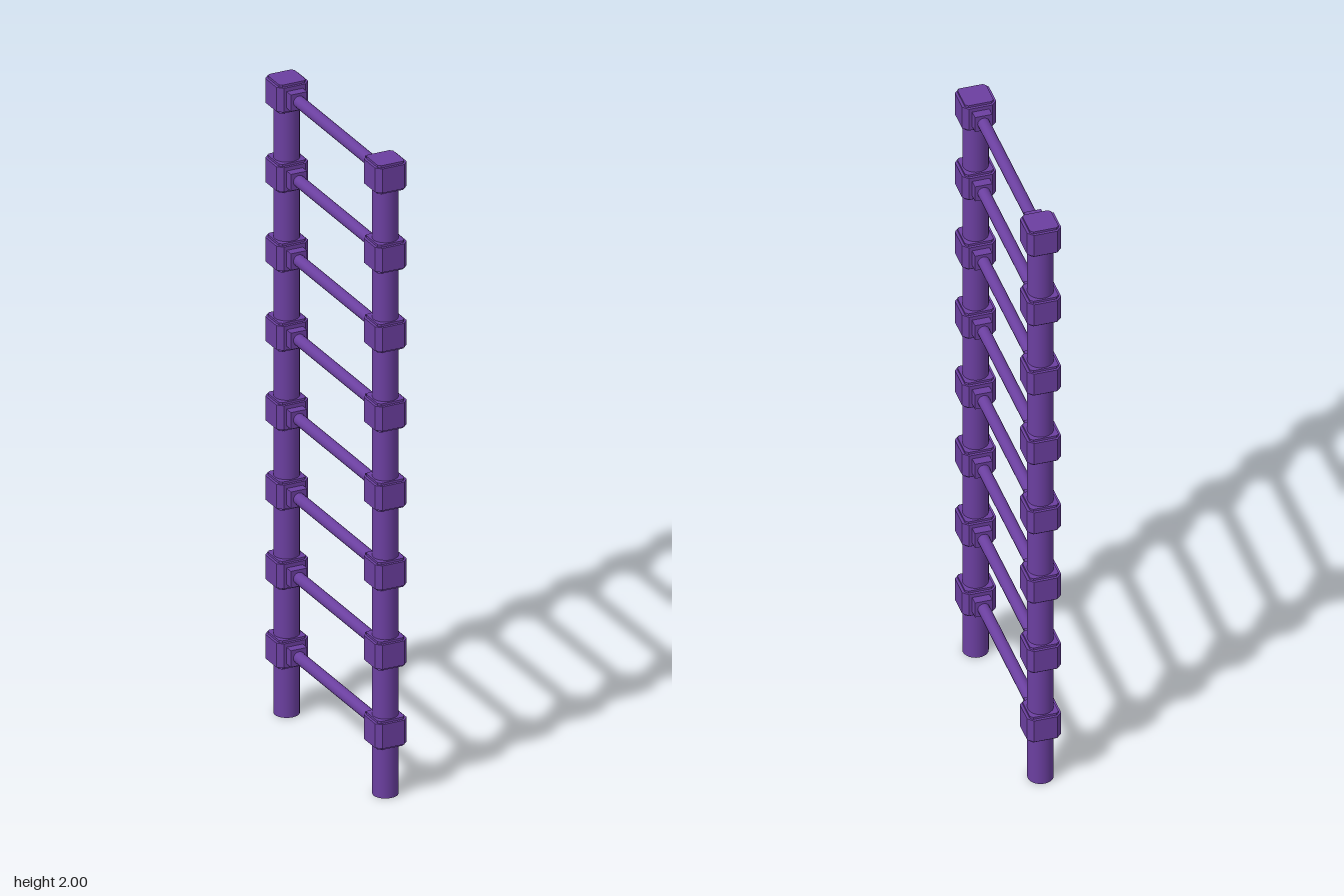
import * as THREE from 'three';

const material = new THREE.MeshStandardMaterial({ color: 0x6b3fa0 });

// Square prism with cut vertical corners, centred on the origin, axis along y
function cutCornerPrism(half, cut, height) {
  const a = half, b = half - cut;
  const shape = new THREE.Shape([
    [a, -b], [a, b], [b, a], [-b, a], [-a, b], [-a, -b], [-b, -a], [b, -a],
  ].map(([x, y]) => new THREE.Vector2(x, y)));
  const geo = new THREE.ExtrudeGeometry(shape, { depth: height, bevelEnabled: false });
  return geo.translate(0, 0, -height / 2).rotateX(-Math.PI / 2);
}

export function createModel() {
  const model = new THREE.Group();
  model.name = 'ladder';

  const postZ = 0.312;
  const rungCount = 8, firstRung = 0.205, spacing = 0.25;

  const postGeo = new THREE.CylinderGeometry(0.038, 0.038, 1.99, 24);
  const collarGeo = cutCornerPrism(0.051, 0.016, 0.076);
  const lipGeo = cutCornerPrism(0.043, 0.008, 0.09);
  const socketGeo = new THREE.BoxGeometry(0.052, 0.052, 0.05);
  const rungGeo = new THREE.CylinderGeometry(0.018, 0.018, 0.5, 16).rotateX(Math.PI / 2);

  const add = (parent, name, geo, x, y, z) => {
    const mesh = new THREE.Mesh(geo, material);
    mesh.name = name;
    mesh.position.set(x, y, z);
    parent.add(mesh);
  };

  // Two upright posts
  for (const side of [1, -1]) {
    add(model, side > 0 ? 'frontPost' : 'backPost', postGeo, 0, 0.995, side * postZ);
  }

  // Rungs, each held by a collar and socket on both posts
  for (let i = 0; i < rungCount; i++) {
    const y = firstRung + i * spacing;
    add(model, 'rung', rungGeo, 0, y, 0);
    for (const side of [1, -1]) {
      const joint = new THREE.Group();
      joint.name = side > 0 ? 'frontJoint' : 'backJoint';
      joint.position.set(0, y, side * postZ);
      add(joint, 'collar', collarGeo, 0, 0, 0);
      add(joint, 'collarLip', lipGeo, 0, 0, 0);
      add(joint, 'rungSocket', socketGeo, 0, 0, -side * 0.053);
      model.add(joint);
    }
  }
  return model;
}
